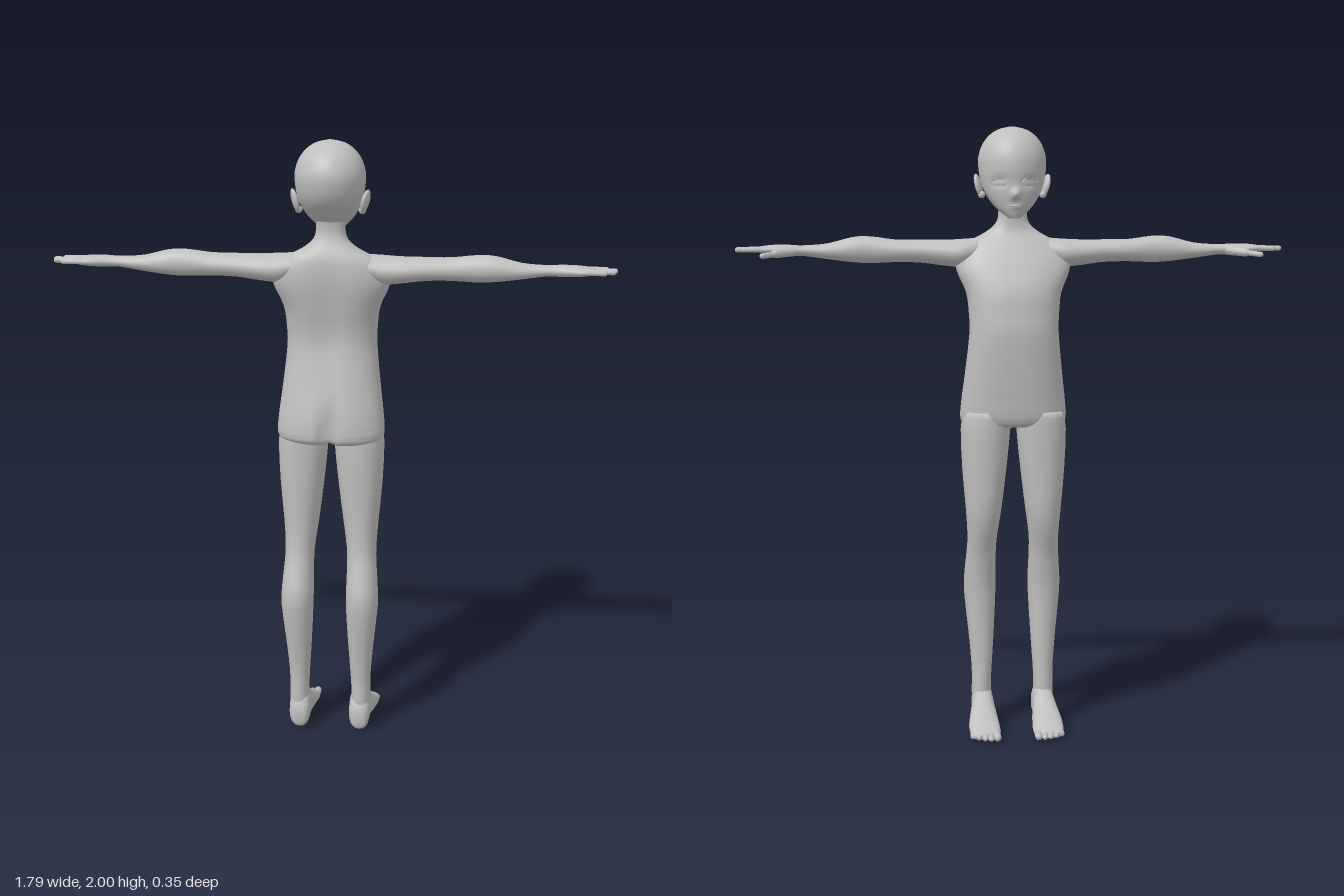
import * as THREE from 'three';

const skin = new THREE.MeshStandardMaterial({ color: 0xbfbfbf });
skin.name = 'grey skin';

// Smooth interpolation between sections, so a short profile gives a rounded form
function refine(s, steps) {
  const out = [];
  for (let i = 0; i < s.length - 1; i++) {
    const p = [s[Math.max(i - 1, 0)], s[i], s[i + 1], s[Math.min(i + 2, s.length - 1)]];
    for (let k = 0; k < steps; k++) {
      const t = k / steps;
      out.push(p[1].map((_, c) => {
        const v0 = (p[2][c] - p[0][c]) / 2, v1 = (p[3][c] - p[1][c]) / 2, d = p[1][c] - p[2][c];
        return (2 * d + v0 + v1) * t ** 3 + (-3 * d - 2 * v0 - v1) * t * t + v0 * t + p[1][c];
      }));
    }
  }
  out.push(s[s.length - 1]);
  return out;
}

// Loft of oval sections [position, aMin, aMax, bMin, bMax], positions ascending.
// Axis y: a = x, b = z.  Axis x: a = z, b = y.  Axis z: a = y, b = x.
function loft(axis, sections, { n = 20, pow = 1, steps = 1, rule = null } = {}) {
  const rings = steps > 1 ? refine(sections, steps) : sections;
  const pos = [], index = [];
  const put = (t, a, b) => {
    const v = axis === 'y' ? [a, t, b] : axis === 'x' ? [t, b, a] : [b, a, t];
    if (rule) rule(v);
    pos.push(...v);
  };
  const bend = (v) => Math.sign(v) * Math.abs(v) ** pow;
  for (const [t, a0, a1, b0, b1] of rings) {
    for (let j = 0; j < n; j++) {
      const th = (j / n) * Math.PI * 2;
      put(t, (a0 + a1) / 2 + ((a1 - a0) / 2) * bend(Math.cos(th)),
        (b0 + b1) / 2 + ((b1 - b0) / 2) * bend(Math.sin(th)));
    }
  }
  const last = rings.length - 1;
  for (const r of [rings[0], rings[last]]) put(r[0], (r[1] + r[2]) / 2, (r[3] + r[4]) / 2);
  const c0 = (last + 1) * n;
  for (let j = 0; j < n; j++) {
    const k = (j + 1) % n;
    for (let i = 0; i < last; i++) {
      const p = i * n + j, q = i * n + k;
      index.push(p, p + n, q, q, p + n, q + n);
    }
    index.push(c0, j, k, c0 + 1, last * n + k, last * n + j);
  }
  const g = new THREE.BufferGeometry();
  g.setAttribute('position', new THREE.Float32BufferAttribute(pos, 3));
  g.setIndex(index);
  g.computeVertexNormals();
  return g;
}

// Rounded finger or toe between two points
function digit(from, to, r) {
  const a = new THREE.Vector3(...from), b = new THREE.Vector3(...to);
  const dir = b.clone().sub(a);
  const g = new THREE.CapsuleGeometry(r, Math.max(dir.length() - 2 * r, 0.001), 4, 10);
  g.applyQuaternion(new THREE.Quaternion().setFromUnitVectors(new THREE.Vector3(0, 1, 0), dir.normalize()));
  return g.translate(...a.add(b).multiplyScalar(0.5).toArray());
}

function mirrored(g) {
  const m = g.clone();
  m.scale(-1, 1, 1);
  const ix = m.index.array;
  for (let i = 0; i < ix.length; i += 3) [ix[i], ix[i + 1]] = [ix[i + 1], ix[i]];
  m.computeVertexNormals();
  return m;
}

export function createModel() {
  const model = new THREE.Group();
  model.name = 'figure';
  const add = (name, g) => {
    const m = new THREE.Mesh(g, skin);
    m.name = name;
    model.add(m);
  };
  const pair = (name, g) => { add(name, g); add(name, mirrored(g)); };
  const bump = (v, x, y, sx, sy) => Math.exp(-(((v[0] - x) / sx) ** 2) - ((v[1] - y) / sy) ** 2);

  // Torso and neck, facing -z, with a cleft and a spine groove at the back
  add('torso', loft('y', [
    [1.03, -0.15, 0.15, -0.055, 0.115], [1.05, -0.174, 0.174, -0.08, 0.133],
    [1.12, -0.17, 0.17, -0.09, 0.128], [1.2, -0.16, 0.16, -0.1, 0.112],
    [1.33, -0.146, 0.146, -0.112, 0.088], [1.4, -0.147, 0.147, -0.107, 0.088],
    [1.47, -0.156, 0.156, -0.098, 0.1], [1.54, -0.185, 0.185, -0.07, 0.11],
    [1.59, -0.18, 0.18, -0.045, 0.112], [1.63, -0.145, 0.145, -0.022, 0.108],
    [1.66, -0.09, 0.09, -0.005, 0.098], [1.69, -0.055, 0.055, 0, 0.085],
    [1.73, -0.046, 0.046, 0, 0.078], [1.8, -0.05, 0.05, 0.005, 0.09],
  ], {
    n: 48, pow: 0.85, steps: 3,
    rule: (v) => {
      if (v[2] < 0.04) return;
      v[2] -= 0.035 * bump(v, 0, 1.06, 0.018, 0.08) + 0.012 * bump(v, 0, 1.42, 0.05, 0.2);
    },
  }));

  // Head: skull, jaw, nose, eye sockets and lips
  add('head', loft('y', [
    [1.705, -0.015, 0.015, -0.042, -0.01], [1.72, -0.036, 0.036, -0.05, 0.03],
    [1.745, -0.062, 0.062, -0.056, 0.075], [1.78, -0.086, 0.086, -0.062, 0.118],
    [1.82, -0.102, 0.102, -0.066, 0.153], [1.86, -0.109, 0.109, -0.07, 0.17],
    [1.9, -0.11, 0.11, -0.067, 0.174], [1.94, -0.098, 0.098, -0.052, 0.16],
    [1.97, -0.076, 0.076, -0.027, 0.135], [1.99, -0.046, 0.046, 0.005, 0.1],
    [2, -0.006, 0.006, 0.046, 0.058],
  ], {
    n: 64, steps: 5,
    rule: (v) => {
      if (v[2] > 0) return;
      v[2] -= 0.025 * bump(v, 0, 1.782, 0.012, 0.014) + 0.004 * bump(v, 0, 1.742, 0.02, 0.008);
      v[2] += 0.008 * (bump(v, 0.05, 1.82, 0.025, 0.016) + bump(v, -0.05, 1.82, 0.025, 0.016));
    },
  }));
  add('mouth', new THREE.SphereGeometry(1, 16, 8).scale(0.016, 0.003, 0.004).translate(0, 1.745, -0.059));

  // Eyes with upper lid lines, turned to follow the face
  const place = (g) => g.rotateY(Math.PI - 0.56).translate(0.049, 1.82, -0.044);
  pair('eye', place(new THREE.SphereGeometry(1, 20, 12).scale(0.028, 0.014, 0.004)));
  pair('eyelid', place(new THREE.TorusGeometry(0.03, 0.0035, 6, 20, Math.PI).scale(1, 0.55, 1).translate(0, 0, 0.003)));
  pair('eyebrow', place(new THREE.TorusGeometry(0.032, 0.002, 6, 20, 2.2).rotateZ(0.47).scale(1, 0.5, 1).translate(0, 0.018, -0.002)));

  // Ears
  pair('ear', new THREE.SphereGeometry(1, 16, 12).scale(0.011, 0.038, 0.025)
    .rotateZ(-0.25).rotateY(-0.3).translate(0.11, 1.812, 0.055));
  pair('earlobe', new THREE.SphereGeometry(0.012, 10, 8).translate(0.1, 1.782, 0.045));

  // Arms and palms
  pair('arm', loft('x', [
    [0.09, -0.005, 0.09, 0, 0].map((v, i) => (i > 2 ? [1.58, 1.645][i - 3] : v)),
    [0.16, -0.03, 0.098, 1.55, 1.64], [0.22, -0.024, 0.098, 1.553, 1.637],
    [0.3, -0.014, 0.09, 1.563, 1.637], [0.38, -0.008, 0.084, 1.565, 1.638],
    [0.46, 0, 0.084, 1.562, 1.648], [0.52, 0.002, 0.084, 1.565, 1.646],
    [0.6, 0.008, 0.075, 1.575, 1.626], [0.68, 0.012, 0.064, 1.586, 1.62],
    [0.72, 0.008, 0.068, 1.585, 1.622], [0.77, 0.004, 0.084, 1.588, 1.622],
    [0.81, 0.008, 0.087, 1.594, 1.618], [0.825, 0.016, 0.08, 1.6, 1.614],
  ], { n: 20, steps: 3 }));

  // Fingers and thumb
  [[0.018, 0.87], [0.039, 0.896], [0.06, 0.89], [0.079, 0.862]].forEach(([z, tip]) =>
    pair('finger', digit([0.79, 1.607, z], [tip, 1.606, z], 0.0085)));
  pair('thumbBase', digit([0.7, 1.6, 0.028], [0.775, 1.594, -0.022], 0.014));
  pair('thumb', digit([0.745, 1.596, -0.003], [0.81, 1.588, -0.06], 0.009));

  // Legs
  pair('leg', loft('y', [
    [0.06, 0.07, 0.138, 0.012, 0.1], [0.13, 0.073, 0.138, 0.01, 0.1],
    [0.2, 0.07, 0.138, 0.012, 0.1], [0.32, 0.062, 0.148, 0.012, 0.118],
    [0.46, 0.055, 0.162, 0.008, 0.142], [0.53, 0.055, 0.16, -0.004, 0.135],
    [0.6, 0.056, 0.154, -0.018, 0.113], [0.66, 0.053, 0.152, -0.04, 0.1],
    [0.75, 0.04, 0.158, -0.064, 0.096], [0.88, 0.024, 0.169, -0.071, 0.1],
    [1.02, 0.01, 0.174, -0.078, 0.103], [1.08, 0.012, 0.165, -0.075, 0.1],
  ], { n: 24, pow: 0.92, steps: 2 }));

  // Feet
  pair('foot', loft('z', [
    [-0.148, 0.006, 0.03, 0.062, 0.148], [-0.12, 0.004, 0.042, 0.054, 0.155],
    [-0.08, 0.003, 0.064, 0.055, 0.157], [-0.03, 0.004, 0.092, 0.06, 0.15],
    [0.01, 0.004, 0.122, 0.065, 0.142], [0.05, 0, 0.14, 0.066, 0.138],
    [0.09, 0.004, 0.12, 0.068, 0.137], [0.108, 0.02, 0.075, 0.083, 0.122],
  ], { n: 20, pow: 0.85, steps: 2 }));

  // Toes, big toe on the inner side
  for (let i = 0; i < 5; i++) {
    const x = 0.069 + i * 0.0195 - (i ? 0 : 0.001), r = i ? 0.0095 : 0.0125;
    pair('toe', digit([x, 0.02, -0.12], [x, r + 0.004, -0.173 + 0.0025 * i * i * 0.7], r));
  }

  return model;
}
